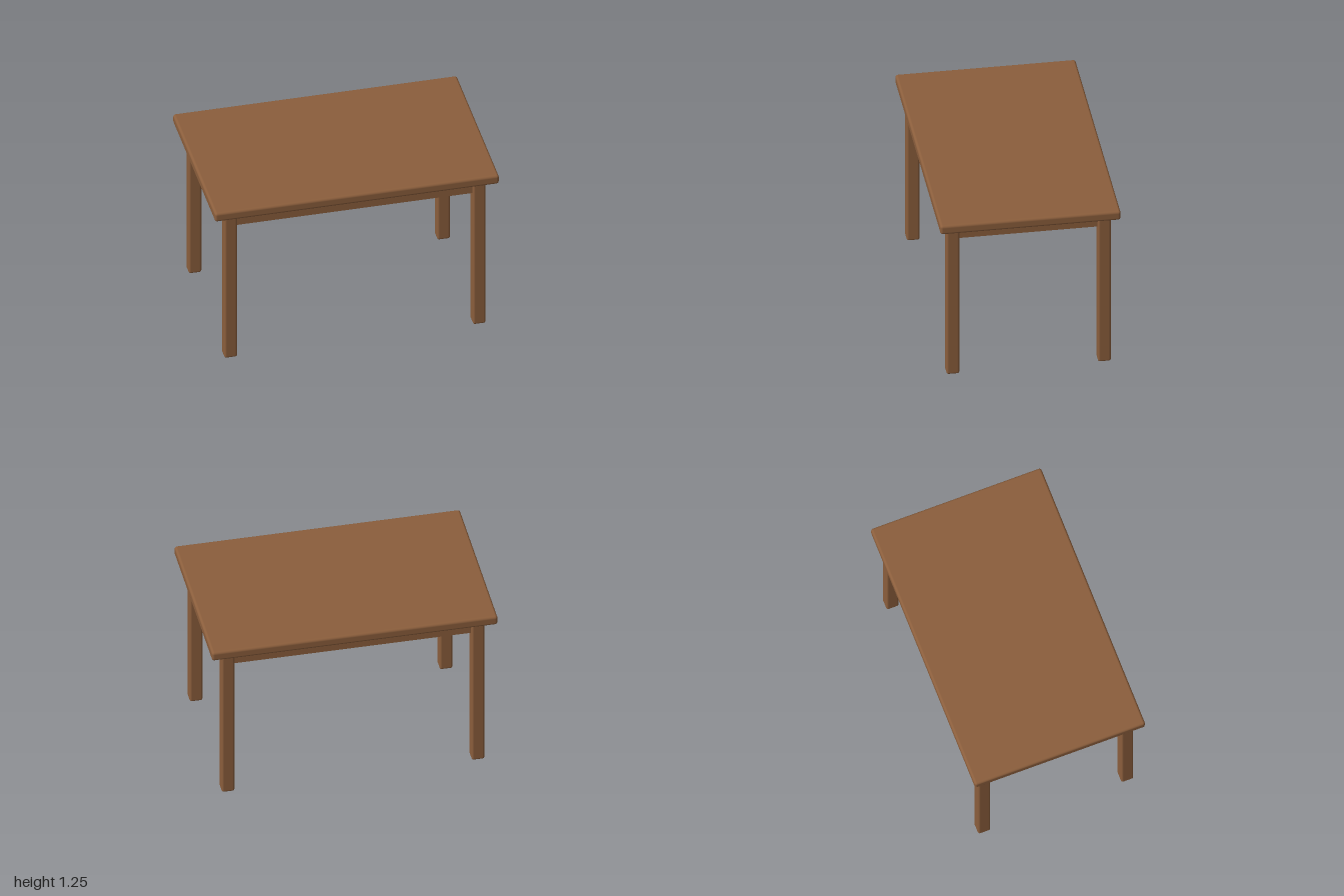
import * as THREE from 'three';
import { RoundedBoxGeometry } from 'three/addons/geometries/RoundedBoxGeometry.js';

export function createModel() {
  const table = new THREE.Group();
  table.name = 'table';
  const wood = new THREE.MeshStandardMaterial({ color: 0x8b5e3c });
  wood.name = 'brown wood';

  const add = (name, geometry, x, y, z) => {
    const mesh = new THREE.Mesh(geometry, wood);
    mesh.name = name;
    mesh.position.set(x, y, z);
    table.add(mesh);
  };

  const legX = 0.875, legZ = 0.525, legSize = 0.09, legHeight = 1.18;
  const topThickness = 0.07, apronHeight = 0.1, apronThickness = 0.04;
  const apronY = legHeight - apronHeight / 2;

  // Softly rounded slab
  add('tabletop', new RoundedBoxGeometry(2, topThickness, 1.25, 4, 0.018),
    0, legHeight + topThickness / 2, 0);

  // Square legs with eased edges
  const legGeometry = new RoundedBoxGeometry(legSize, legHeight, legSize, 4, 0.015);
  for (const sx of [-1, 1]) {
    for (const sz of [-1, 1]) {
      add(`${sz > 0 ? 'front' : 'back'}${sx > 0 ? 'Left' : 'Right'}Leg`,
        legGeometry, sx * legX, legHeight / 2, sz * legZ);
    }
  }

  // Aprons run between the leg centre lines
  const longApron = new THREE.BoxGeometry(2 * legX - 0.06, apronHeight, apronThickness);
  const shortApron = new THREE.BoxGeometry(apronThickness, apronHeight, 2 * legZ - 0.06);
  for (const s of [-1, 1]) {
    add(s > 0 ? 'frontApron' : 'backApron', longApron, 0, apronY, s * legZ);
    add(s > 0 ? 'leftApron' : 'rightApron', shortApron, s * legX, apronY, 0);
  }

  return table;
}
